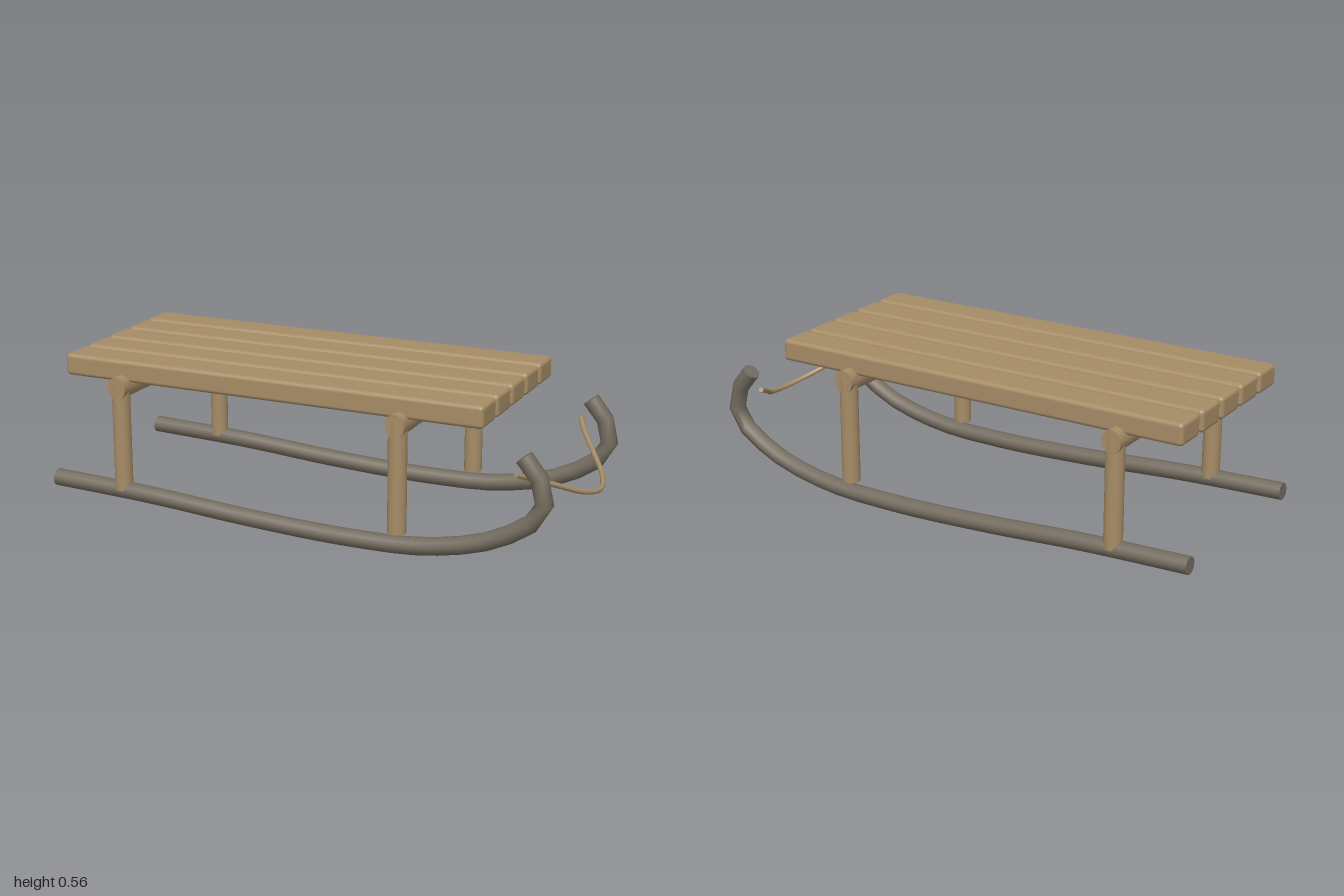
import * as THREE from 'three';
import { RoundedBoxGeometry } from 'three/addons/geometries/RoundedBoxGeometry.js';

export function createModel() {
  const sled = new THREE.Group();
  sled.name = 'sled';
  const wood = new THREE.MeshStandardMaterial({ name: 'wood', color: 0xa68c66 });
  const metal = new THREE.MeshStandardMaterial({ name: 'runnerGrey', color: 0x736b5e });

  const add = (parent, name, geometry, material, x = 0, y = 0, z = 0) => {
    const mesh = new THREE.Mesh(geometry, material);
    mesh.name = name;
    mesh.position.set(x, y, z);
    parent.add(mesh);
    return mesh;
  };

  // Round bar swept along a curve, with a flat cap on each end
  const cappedTube = (name, points, segments, radius, sides, material) => {
    const curve = new THREE.CatmullRomCurve3(points);
    const group = new THREE.Group();
    group.name = name;
    add(group, name + 'Bar', new THREE.TubeGeometry(curve, segments, radius, sides), material);
    for (const t of [0, 1]) {
      const p = curve.getPointAt(t);
      const out = curve.getTangentAt(t).multiplyScalar(t ? 1 : -1);
      const cap = add(group, name + 'Cap', new THREE.CircleGeometry(radius, sides), material, p.x, p.y, p.z);
      cap.quaternion.setFromUnitVectors(new THREE.Vector3(0, 0, 1), out);
    }
    sled.add(group);
  };

  // Seat planks
  for (let i = -2; i <= 2; i++) {
    add(sled, 'seatPlank', new RoundedBoxGeometry(1.63, 0.081, 0.13, 3, 0.015), wood, -0.135, 0.5275, i * 0.1475);
  }

  // Cross beams, slightly taller than wide, and their legs
  for (const x of [-0.712, 0.378]) {
    const beam = new THREE.CylinderGeometry(0.043, 0.043, 0.8, 20).rotateX(Math.PI / 2).scale(0.83, 1, 1);
    add(sled, 'crossBeam', beam, wood, x, 0.471, 0);
    for (const side of [-1, 1]) {
      add(sled, 'leg', new THREE.CylinderGeometry(0.0335, 0.0335, 0.407, 16), wood, x, 0.2865, side * 0.369);
    }
  }

  // Runners curling up at the +x end
  const profile = [[-1, 0.088], [-0.6, 0.074], [-0.2, 0.048], [0.2, 0.035],
    [0.5, 0.05], [0.75, 0.12], [0.9, 0.235], [0.89, 0.34], [0.83, 0.418]];
  for (const side of [-1, 1]) {
    cappedTube('runner', profile.map(([x, y]) => new THREE.Vector3(x, y, side * 0.369)), 24, 0.032, 10, metal);
  }

  // Pull rope sagging between the runner tips, in one sloping plane
  const half = [[0.8, 0.347, 0.355], [0.828, 0.323, 0.3], [0.897, 0.275, 0.2], [0.962, 0.23, 0.1]];
  const rope = [
    ...half.map(([x, y, z]) => new THREE.Vector3(x, y, z)),
    new THREE.Vector3(0.988, 0.213, 0),
    ...half.slice().reverse().map(([x, y, z]) => new THREE.Vector3(x, y, -z)),
  ];
  cappedTube('pullRope', rope, 32, 0.0095, 8, wood);

  return sled;
}
